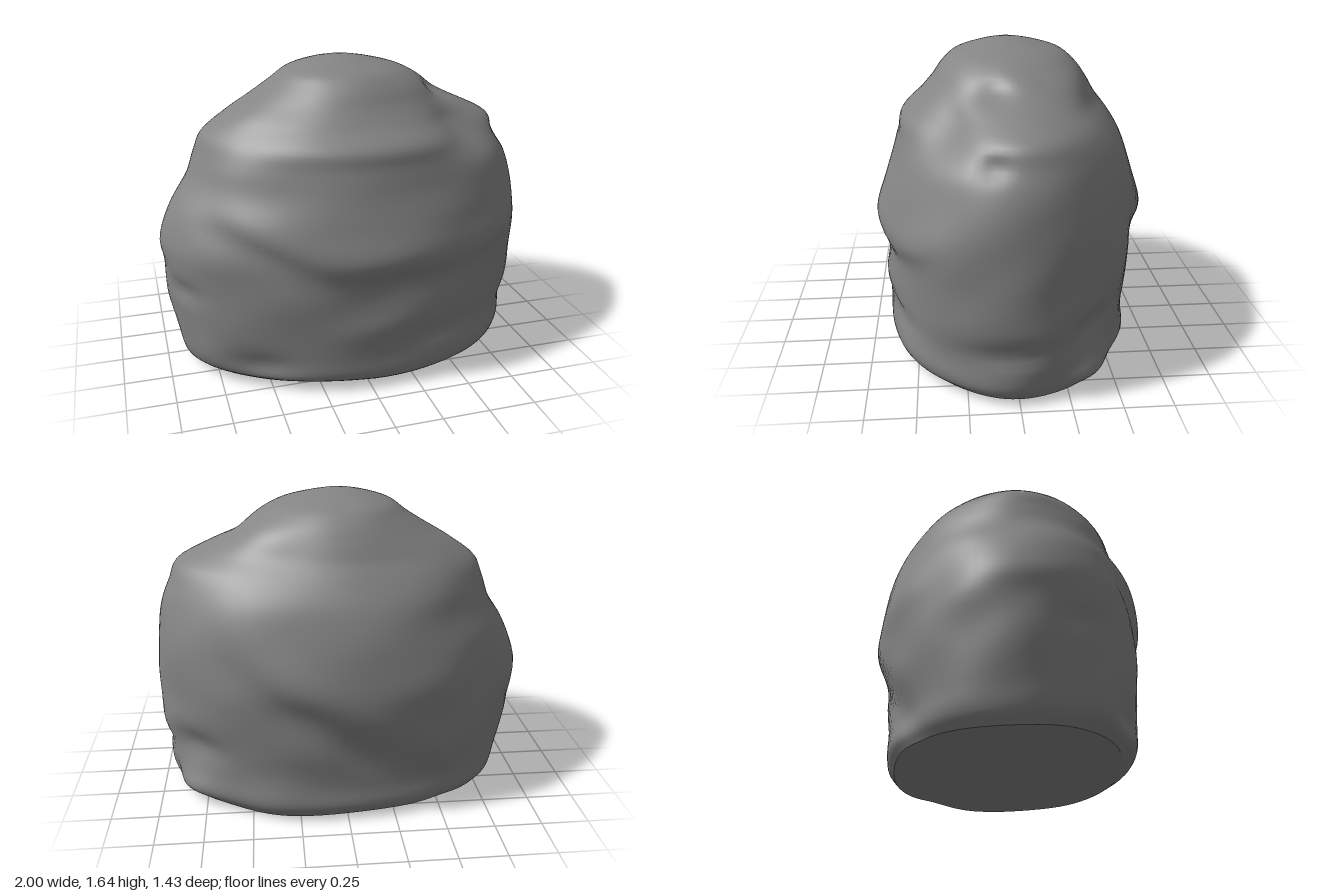
import * as THREE from 'three';

// Smooth cross-sections of the rock: height, left/right extent in x, front/back extent in z
const rings = [
  [0.022, -0.86, 0.92, 0.57, -0.59], [0.08, -0.905, 0.955, 0.65, -0.625],
  [0.2, -0.935, 0.965, 0.658, -0.625], [0.4, -0.97, 0.995, 0.668, -0.66],
  [0.6, -0.98, 0.995, 0.685, -0.69], [0.75, -0.98, 0.995, 0.70, -0.705],
  [0.9, -0.925, 0.99, 0.665, -0.685], [1.05, -0.83, 0.965, 0.615, -0.65],
  [1.17, -0.78, 0.92, 0.58, -0.605], [1.27, -0.72, 0.85, 0.54, -0.54],
  [1.36, -0.62, 0.70, 0.465, -0.47], [1.44, -0.49, 0.56, 0.40, -0.425],
  [1.52, -0.37, 0.45, 0.345, -0.37], [1.58, -0.29, 0.34, 0.28, -0.30],
  [1.62, -0.18, 0.20, 0.16, -0.18], [1.64, -0.09, 0.10, 0.08, -0.09],
];

// Dents and bulges: angle in degrees (0 = +x, 90 = front), height, amount, angular width, height width
const bumps = [
  // shoulders and crown
  [-5, 1.32, 0.06, 24, 0.08], [40, 1.30, -0.12, 18, 0.11], [14, 1.46, -0.08, 14, 0.05],
  [12, 1.2, -0.03, 7, 0.05], [180, 1.28, 0.03, 22, 0.07], [92, 1.27, 0.04, 28, 0.06],
  [150, 1.42, 0.03, 22, 0.08], [320, 1.47, 0.06, 24, 0.07],
  // sides
  [160, 0.5, -0.03, 10, 0.05], [180, 0.68, 0.015, 14, 0.07], [218, 0.78, -0.03, 16, 0.25],
  [205, 0.6, 0.02, 14, 0.1], [34, 0.75, 0.035, 16, 0.25], [222, 1.1, -0.015, 18, 0.15],
  // foot of the rock
  [0, 0.29, -0.03, 22, 0.06], [345, 0.1, -0.015, 8, 0.06], [323, 0.1, 0.055, 12, 0.1],
  [325, 0.36, -0.05, 14, 0.08], [292, 0.14, 0.05, 13, 0.11], [128, 0.14, -0.045, 11, 0.08],
  [148, 0.16, 0.02, 10, 0.1], [90, 0.36, 0.02, 14, 0.07], [50, 0.14, 0.02, 26, 0.07],
  [65, 0.28, -0.025, 16, 0.05],
];

const gauss = (d, w) => Math.exp(-(d * d) / (w * w));
const turn = (deg, a) => ((deg - a + 540) % 360) - 180;
const { smoothstep, radToDeg } = THREE.MathUtils;

// Soft crease under the overhanging ledge across the front, deepest at its left and middle
function ledge(angle, y, x) {
  const d = y - (0.59 + 0.3 * (x - 0.2) ** 2 + 0.015 * Math.sin(9 * x));
  const fade = smoothstep(Math.sin(angle), 0.4, 0.85);
  const depth = 0.034 + 0.014 * Math.cos(8 * (x + 0.6));
  return fade * (0.014 * gauss(d - 0.14, 0.09) - depth * gauss(d, d > 0 ? 0.06 : 0.13));
}

// Wide groove running diagonally down the back
function groove(deg, y) {
  const d = y - (0.13 + (deg - 235) * 0.0097);
  const fade = smoothstep(deg, 220, 245) * (1 - smoothstep(deg, 280, 318));
  return fade * (0.022 * gauss(d - 0.2, 0.12) - 0.05 * gauss(d, 0.12));
}

function relief(angle, y, x) {
  const deg = radToDeg(angle);
  let r = 1 + ledge(angle, y, x) + groove(deg, y);
  for (const [a, h, amount, wa, wh] of bumps) {
    r += amount * gauss(turn(deg, a), wa) * gauss(y - h, wh);
  }
  // Gentle weathering
  r += 0.006 * Math.sin(5 * angle + 6 * y) * Math.sin(9 * y + 2 * angle);
  return r + 0.004 * Math.sin(9 * angle - 8 * y + 1);
}

function buildRock() {
  const around = 96, rows = 72, cx = 0.02;
  const curves = [1, 2, 3, 4].map((k) =>
    new THREE.CatmullRomCurve3(rings.map((p) => new THREE.Vector3(p[k], p[0], 0)), false, 'centripetal'));
  const pos = [], index = [];
  for (let j = 0; j <= rows; j++) {
    const [left, right, front, back] = curves.map((c) => c.getPoint(j / rows));
    // Keep the crown centred on x = 0
    const shift = cx * (1 - smoothstep(left.y, 1.5, 1.65));
    for (let i = 0; i < around; i++) {
      const t = (i / around) * Math.PI * 2, c = Math.cos(t), s = Math.sin(t);
      const y = c > 0 ? THREE.MathUtils.lerp(front.y, right.y, c) : left.y;
      const ex = c * (c > 0 ? right.x - shift : shift - left.x);
      const ez = s * (s > 0 ? front.x : -back.x);
      const r = relief(t, y, ex);
      // Uneven rim, lifted at one back corner
      const wave = 0.013 * Math.sin(3 * t + 1) + 0.035 * gauss(turn(radToDeg(t), 323), 15);
      pos.push(shift + ex * r, y + wave * gauss(y, 0.12), ez * r);
    }
  }
  for (let j = 0; j < rows; j++) {
    for (let i = 0; i < around; i++) {
      const n = (i + 1) % around;
      const a = j * around + i, b = j * around + n, d = a + around, e = b + around;
      index.push(a, d, b, b, d, e);
    }
  }
  // Close the crown
  const top = pos.length / 3;
  pos.push(0, 1.65, 0);
  for (let i = 0; i < around; i++) {
    index.push(rows * around + i, top, rows * around + ((i + 1) % around));
  }
  // Flat underside with its own vertices so the rim stays crisp
  const base = pos.length / 3;
  pos.push(...pos.slice(0, around * 3), 0, 0.02, 0);
  for (let i = 0; i < around; i++) index.push(base + i, base + ((i + 1) % around), base + around);

  const geo = new THREE.BufferGeometry();
  geo.setAttribute('position', new THREE.Float32BufferAttribute(pos, 3));
  geo.setIndex(index);
  geo.computeVertexNormals();
  return geo;
}

export function createModel() {
  const group = new THREE.Group();
  group.name = 'boulder';
  const rock = new THREE.Mesh(buildRock(), new THREE.MeshStandardMaterial({ color: 0x858585 }));
  rock.name = 'rock';
  group.add(rock);
  return group;
}
